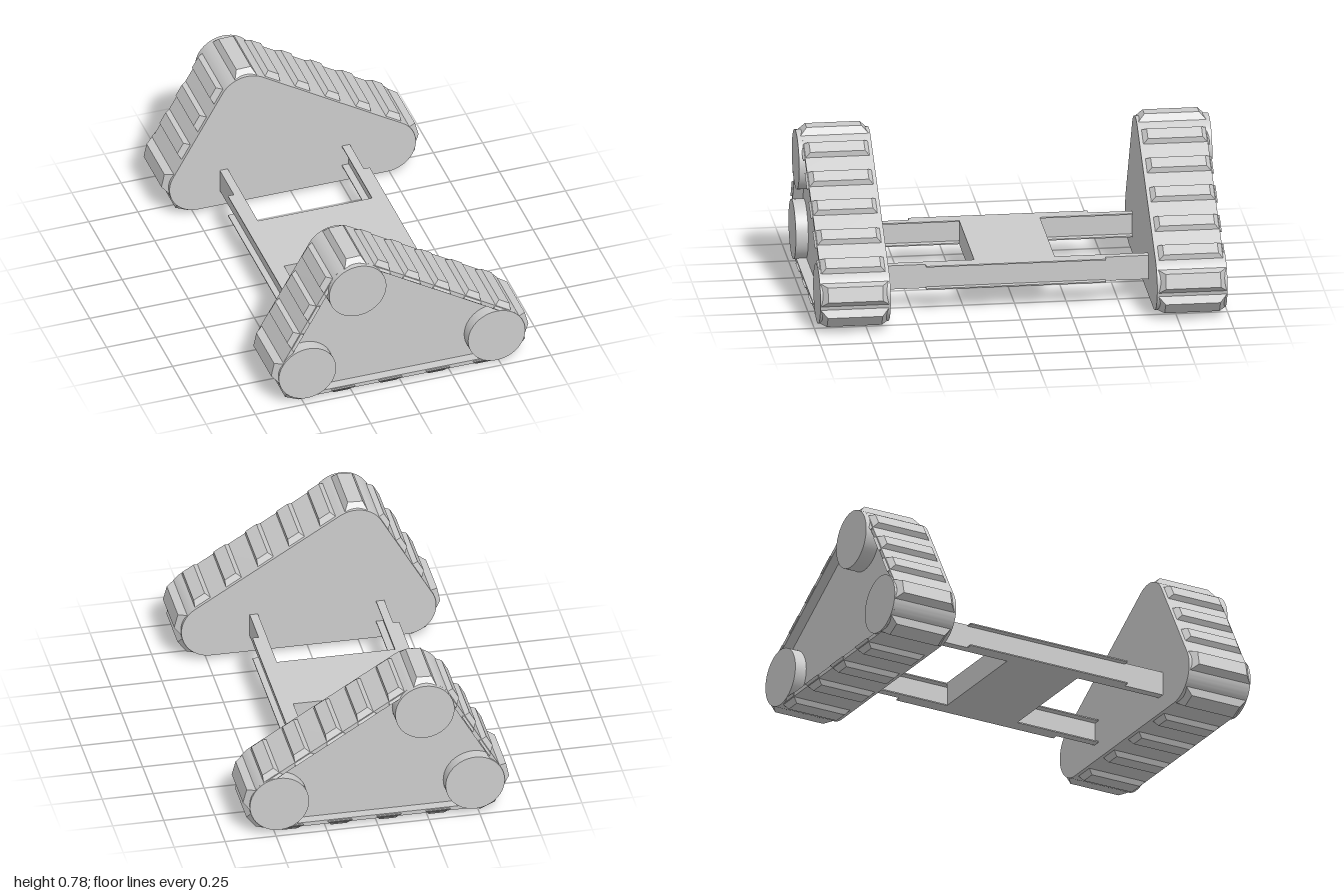
import * as THREE from 'three';
import { toCreasedNormals } from 'three/addons/utils/BufferGeometryUtils.js';

const mat = new THREE.MeshStandardMaterial({ color: 0xcccccc });
const R = 0.145;
// wheel centres, counter-clockwise: rear, front, top
const WHEELS = [[-0.48, 0.17], [0.48, 0.17], [-0.23, 0.61]].map(p => new THREE.Vector2(...p));

// outward angle of the straight run leaving wheel i
function runAngle(i) {
  const d = WHEELS[(i + 1) % 3].clone().sub(WHEELS[i % 3]);
  return Math.atan2(-d.x, d.y);
}

// outline of a belt pulled tight around the three wheels at radius r
function trackOutline(r, PathType) {
  const path = new PathType();
  WHEELS.forEach((c, i) => path.absarc(c.x, c.y, r, runAngle(i + 2), runAngle(i), false));
  path.closePath();
  return path;
}

function add(group, name, geometry) {
  const mesh = new THREE.Mesh(geometry, mat);
  mesh.name = name;
  group.add(mesh);
  return mesh;
}

function box(group, name, x0, x1, y0, y1, z0, z1) {
  const g = new THREE.BoxGeometry(x1 - x0, y1 - y0, z1 - z0);
  add(group, name, g.translate((x0 + x1) / 2, (y0 + y1) / 2, (z0 + z1) / 2));
}

// extrude a shape between two distances from the middle, on side s
function slab(shape, near, far, s) {
  const g = new THREE.ExtrudeGeometry(shape, { depth: far - near, bevelEnabled: false, curveSegments: 20 });
  return toCreasedNormals(g.translate(0, 0, s > 0 ? near : -far), 0.5);
}

// tread block: a box whose outer face is tapered on all four sides
function cleatGeometry(width) {
  const sink = 0.014, height = 0.024, length = 0.335;
  const g = new THREE.BoxGeometry(sink + height, width, length);
  const p = g.attributes.position;
  for (let i = 0; i < p.count; i++) {
    if (p.getX(i) > 0) {
      p.setY(i, p.getY(i) - Math.sign(p.getY(i)) * 0.021);
      p.setZ(i, p.getZ(i) - Math.sign(p.getZ(i)) * 0.035);
    }
  }
  g.translate((height - sink) / 2, 0, 0);
  const flat = g.toNonIndexed();
  flat.computeVertexNormals();
  return flat;
}

// places of the cleats: on straight runs (fraction along) and around wheels (degrees)
const RUN_CLEATS = [[0.19, 0.44, 0.69, 0.94], [0.055, 0.27, 0.49, 0.705, 0.92], [0.06, 0.39, 0.72]];
const WHEEL_CLEATS = [[168, 246], [15, -38], [92]];

function createTrack(s) {
  const track = new THREE.Group();
  track.name = s > 0 ? 'frontTrack' : 'backTrack';

  // side body, set back inside the belt on the outer side
  add(track, 'trackBody', slab(trackOutline(R - 0.02, THREE.Shape), 0.645, 0.925, s));

  // belt ring
  const belt = trackOutline(R, THREE.Shape);
  belt.holes.push(trackOutline(R - 0.02, THREE.Path));
  add(track, 'belt', slab(belt, 0.645, 0.975, s));

  // wheel caps, the top one standing out furthest
  WHEELS.forEach((c, i) => {
    const far = i === 2 ? 1 : 0.985, near = 0.9;
    const g = new THREE.CylinderGeometry(R, R, far - near, 48).rotateX(Math.PI / 2);
    add(track, 'wheel', g.translate(c.x, c.y, s * (near + far) / 2));
  });

  // tread cleats
  const placeCleat = (centre, angle, width) => {
    const m = add(track, 'cleat', cleatGeometry(width));
    m.position.set(centre.x + R * Math.cos(angle), centre.y + R * Math.sin(angle), s * 0.8175);
    m.rotation.z = angle;
  };
  WHEELS.forEach((c, i) => {
    const next = WHEELS[(i + 1) % 3];
    for (const t of RUN_CLEATS[i]) placeCleat(c.clone().lerp(next, t), runAngle(i), i === 0 ? 0.12 : 0.105);
    for (const a of WHEEL_CLEATS[i]) placeCleat(c, THREE.MathUtils.degToRad(a), 0.115);
  });
  return track;
}

function createFrame() {
  const frame = new THREE.Group();
  frame.name = 'frame';
  const y0 = 0.11, y1 = 0.23, t = 0.006, mid = -0.04;

  // centre block between the rails
  box(frame, 'centreBlock', -0.33, 0.25, y0, y1, -0.195, 0.195);

  for (const side of [-1, 1]) {
    const span = (name, a, b, ya, yb, z) => {
      const x = [mid + side * a, mid + side * b].sort((p, q) => p - q);
      box(frame, name, x[0], x[1], ya, yb, -z, z);
    };
    // upright web running into both tracks
    span('railWeb', 0.324, 0.33, y0 + t, y1 - t, 0.66);
    for (const y of [y0, y1 - t]) {
      // long inner flange and shorter outer flange
      span('innerFlange', 0.29, 0.33, y, y + t, 0.66);
      span('outerFlange', 0.33, 0.36, y, y + t, 0.435);
    }
  }
  return frame;
}

export function createModel() {
  const model = new THREE.Group();
  model.name = 'trackedChassis';
  model.add(createFrame(), createTrack(1), createTrack(-1));
  return model;
}
